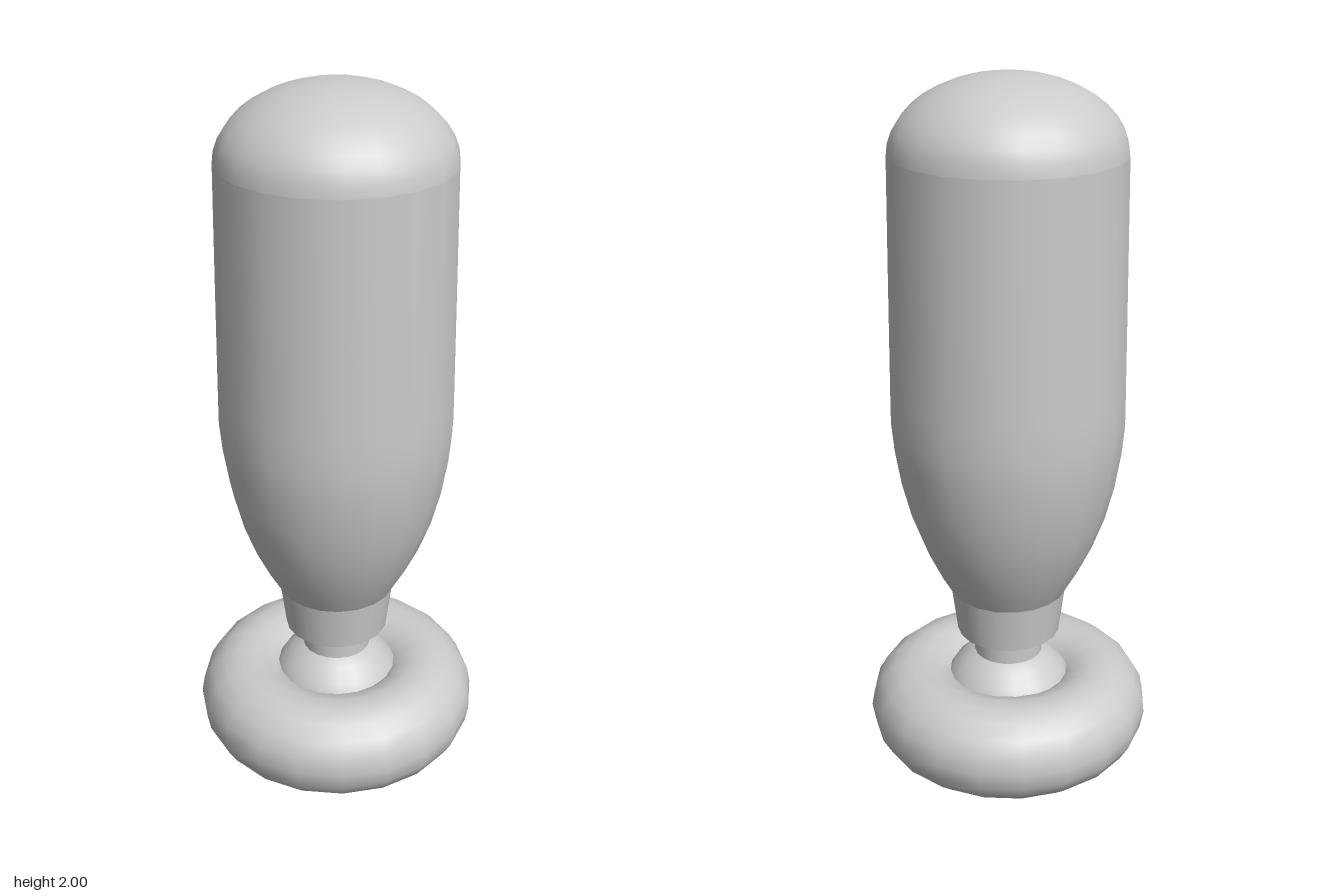
import * as THREE from 'three';

const SIDES = 20;

export function createModel() {
  const group = new THREE.Group();
  const material = new THREE.MeshStandardMaterial({ color: 0xcccccc });

  const add = (name, geometry, y = 0) => {
    const mesh = new THREE.Mesh(geometry, material);
    mesh.name = name;
    mesh.position.y = y;
    group.add(mesh);
    return mesh;
  };
  const lathe = (points) =>
    new THREE.LatheGeometry(points.map(([r, y]) => new THREE.Vector2(r, y)), SIDES);
  const frustum = (top, bottom, y0, y1) => [
    new THREE.CylinderGeometry(top, bottom, y1 - y0, SIDES), (y0 + y1) / 2];

  // Handle: swelling grip that narrows towards the collar
  add('grip', lathe([
    [0.163, 0.58], [0.197, 0.64], [0.235, 0.72], [0.268, 0.81],
    [0.293, 0.91], [0.309, 1.01], [0.316, 1.09], [0.315, 1.18],
    [0.31, 1.5], [0.305, 1.8],
  ]));

  // Rounded end of the handle
  const dome = [];
  for (let i = 0; i <= 10; i++) {
    const a = (i / 10) * Math.PI / 2;
    dome.push([0.305 * Math.cos(a), 1.8 + 0.2 * Math.sin(a)]);
  }
  add('gripEnd', lathe(dome));

  // Tapered collar with a bevelled lower edge
  add('collar', ...frustum(0.162, 0.145, 0.447, 0.58));
  add('collarBevel', ...frustum(0.145, 0.1, 0.42, 0.447));

  // Stem running down into the ball
  add('stem', ...frustum(0.097, 0.097, 0.25, 0.43));
  add('ball', new THREE.SphereGeometry(0.2, SIDES, 14), 0.2);

  // Thick ring around the ball, tipped very slightly forward
  const ringGeometry = new THREE.TorusGeometry(0.261, 0.139, 18, SIDES);
  ringGeometry.rotateX(Math.PI / 2);
  add('ring', ringGeometry, 0.202).rotation.x = 0.015;

  return group;
}
